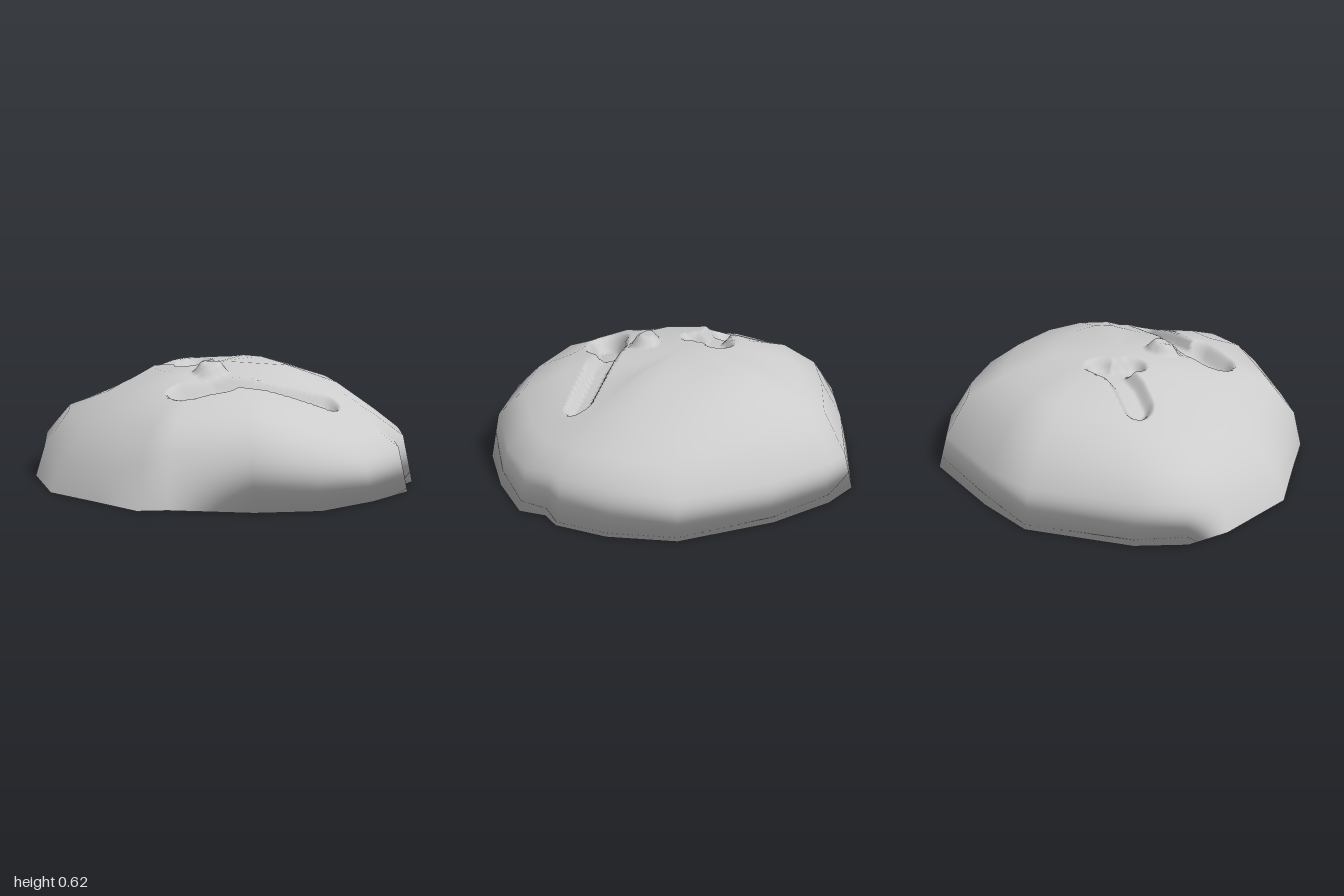
import * as THREE from 'three';

// Footprint points with the slope above each: [x, z, then height at scales .95, .82, .62, .36]
const RIBS = [
  [0.11, -0.97, 0.18, 0.40, 0.50, 0.58], [0.30, -0.90, 0.20, 0.40, 0.515, 0.59],
  [0.58, -0.70, 0.20, 0.39, 0.53, 0.59], [0.91, -0.33, 0.20, 0.35, 0.49, 0.57],
  [1.00, 0.00, 0.24, 0.34, 0.48, 0.57], [1.00, 0.27, 0.24, 0.33, 0.46, 0.56],
  [0.94, 0.36, 0.23, 0.33, 0.45, 0.55], [0.95, 0.50, 0.22, 0.31, 0.43, 0.53],
  [0.76, 0.72, 0.20, 0.32, 0.43, 0.52], [0.51, 0.92, 0.25, 0.38, 0.47, 0.53],
  [0.20, 0.97, 0.28, 0.41, 0.50, 0.54], [-0.20, 0.94, 0.26, 0.41, 0.49, 0.53],
  [-0.34, 0.96, 0.20, 0.37, 0.47, 0.54], [-0.55, 0.80, 0.16, 0.34, 0.48, 0.56],
  [-0.81, 0.61, 0.14, 0.30, 0.44, 0.56], [-0.97, 0.22, 0.16, 0.34, 0.42, 0.56],
  [-1.00, 0.00, 0.20, 0.35, 0.42, 0.57], [-0.92, -0.25, 0.22, 0.36, 0.44, 0.57],
  [-0.61, -0.70, 0.21, 0.39, 0.52, 0.58], [-0.33, -0.83, 0.18, 0.39, 0.52, 0.58],
];
const SCALES = [1, 0.95, 0.82, 0.62, 0.36];
const N = RIBS.length, BANDS = SCALES.length, SUB = 14;
const APEX = N * BANDS, CENTRE = APEX + 1, INNER_A = APEX + 2, INNER_B = APEX + 3;

// Underside edge, cut in at the front corner where a separate sliver closes it
const BASE_LOOP = [0, 1, 2, 3, 4, 5, 6, 7, 8, 9, 10, INNER_A, INNER_B, 16, 17, 18, 19];

// Hollows and lumps: [x1, z1, x2, z2, radius, height change]
const DENTS = [
  [-0.46, -0.06, -0.24, -0.08, 0.09, -0.06],
  [-0.24, -0.08, -0.14, -0.14, 0.09, -0.06],
  [-0.18, -0.08, -0.18, 0.02, 0.08, -0.06],
  [-0.13, 0.51, 0.00, 0.46, 0.12, -0.10],
  [0.00, 0.42, 0.54, 0.36, 0.08, -0.07],
  [-0.05, 0.25, -0.03, 0.24, 0.09, 0.06],
];

function dentAt(x, z) {
  let low = 0, high = 0;
  for (const [x1, z1, x2, z2, r, h] of DENTS) {
    const dx = x2 - x1, dz = z2 - z1;
    const t = THREE.MathUtils.clamp(((x - x1) * dx + (z - z1) * dz) / (dx * dx + dz * dz), 0, 1);
    const d = Math.hypot(x - x1 - t * dx, z - z1 - t * dz);
    const v = h * (1 - THREE.MathUtils.smoothstep(d, r * 0.35, r));
    low = Math.min(low, v);
    high = Math.max(high, v);
  }
  return low + high;
}

function makeGeometry(points, faces, normals) {
  const g = new THREE.BufferGeometry();
  g.setAttribute('position', new THREE.Float32BufferAttribute(points, 3));
  g.setIndex(faces);
  if (normals) g.setAttribute('normal', new THREE.Float32BufferAttribute(normals, 3));
  else g.computeVertexNormals();
  return g;
}

const baseFaces = () => BASE_LOOP.flatMap((v, i) => [CENTRE, v, BASE_LOOP[(i + 1) % BASE_LOOP.length]]);

// Coarse cage, whose rounded normals run from the sides into the underside
function cageGeometry() {
  const points = [], faces = [];
  SCALES.forEach((s, k) => RIBS.forEach(([x, z, ...h]) => points.push(x * s, k ? h[k - 1] : 0, z * s)));
  points.push(0, 0.59, 0, 0, 0, 0, -0.30, 0, 0.33, -0.63, 0, 0.27);
  for (let k = 0; k < BANDS; k++) {
    for (let j = 0; j < N; j++) {
      const a = k * N + j, b = k * N + (j + 1) % N;
      if (k === BANDS - 1) faces.push(a, APEX, b);
      else faces.push(a, a + N, b, b, a + N, b + N);
    }
  }
  return makeGeometry(points, [...faces, ...baseFaces()]);
}

const readVector = (cage, name, i) => new THREE.Vector3().fromBufferAttribute(cage.attributes[name], i);

// Domed surface: the cage refined, with hollows and lumps pressed in
function crownGeometry(cage) {
  const points = [], normals = [], faces = [], cols = N * SUB, rows = BANDS * SUB;
  const sample = (name, row, col) => {
    const k = Math.min(Math.floor(row / SUB), BANDS - 1), j = Math.floor(col / SUB);
    const corner = (ring, rib) => readVector(cage, name, ring === BANDS ? APEX : ring * N + rib % N);
    const u = col / SUB - j, t = row / SUB - k;
    const lower = corner(k, j).lerp(corner(k, j + 1), u);
    return lower.lerp(corner(k + 1, j).lerp(corner(k + 1, j + 1), u), t);
  };
  const e = 0.005;
  for (let row = 0; row <= rows; row++) {
    for (let col = 0; col < cols; col++) {
      const p = sample('position', row, col), n = sample('normal', row, col);
      const gx = (dentAt(p.x + e, p.z) - dentAt(p.x - e, p.z)) / (2 * e);
      const gz = (dentAt(p.x, p.z + e) - dentAt(p.x, p.z - e)) / (2 * e);
      n.set(n.x - n.y * gx, n.y, n.z - n.y * gz).normalize();
      points.push(p.x, p.y + dentAt(p.x, p.z), p.z);
      normals.push(n.x, n.y, n.z);
      if (row === rows) continue;
      const a = row * cols + col, b = row * cols + (col + 1) % cols;
      faces.push(a, a + cols, b);
      if (row < rows - 1) faces.push(b, a + cols, b + cols);
    }
  }
  return makeGeometry(points, faces, normals);
}

// Sliver closing the front corner of the underside, shaded like the wall above it
function cornerGeometry(cage) {
  const spots = [10, 11, 12, 13, 14, 15, 16, INNER_B, INNER_A];
  const shading = [11, 11, 12, 13, 14, 15, 15, 14, 12];
  const collect = (name, list) => list.flatMap((i) => readVector(cage, name, i).toArray());
  const faces = [8, 1, 0, 8, 2, 1, 8, 3, 2, 8, 7, 3, 7, 4, 3, 7, 5, 4, 7, 6, 5];
  return makeGeometry(collect('position', spots), faces, collect('normal', shading));
}

export function createModel() {
  const stone = new THREE.MeshStandardMaterial({ color: 0xcccccc, side: THREE.DoubleSide });
  stone.name = 'stone grey';
  const group = new THREE.Group();
  group.name = 'boulder';
  const add = (name, geometry) => {
    const mesh = new THREE.Mesh(geometry, stone);
    mesh.name = name;
    group.add(mesh);
  };
  const cage = cageGeometry();
  add('rockCrown', crownGeometry(cage));
  add('rockBase', makeGeometry(cage.attributes.position.array, baseFaces(), cage.attributes.normal.array));
  add('rockBaseCorner', cornerGeometry(cage));
  return group;
}
